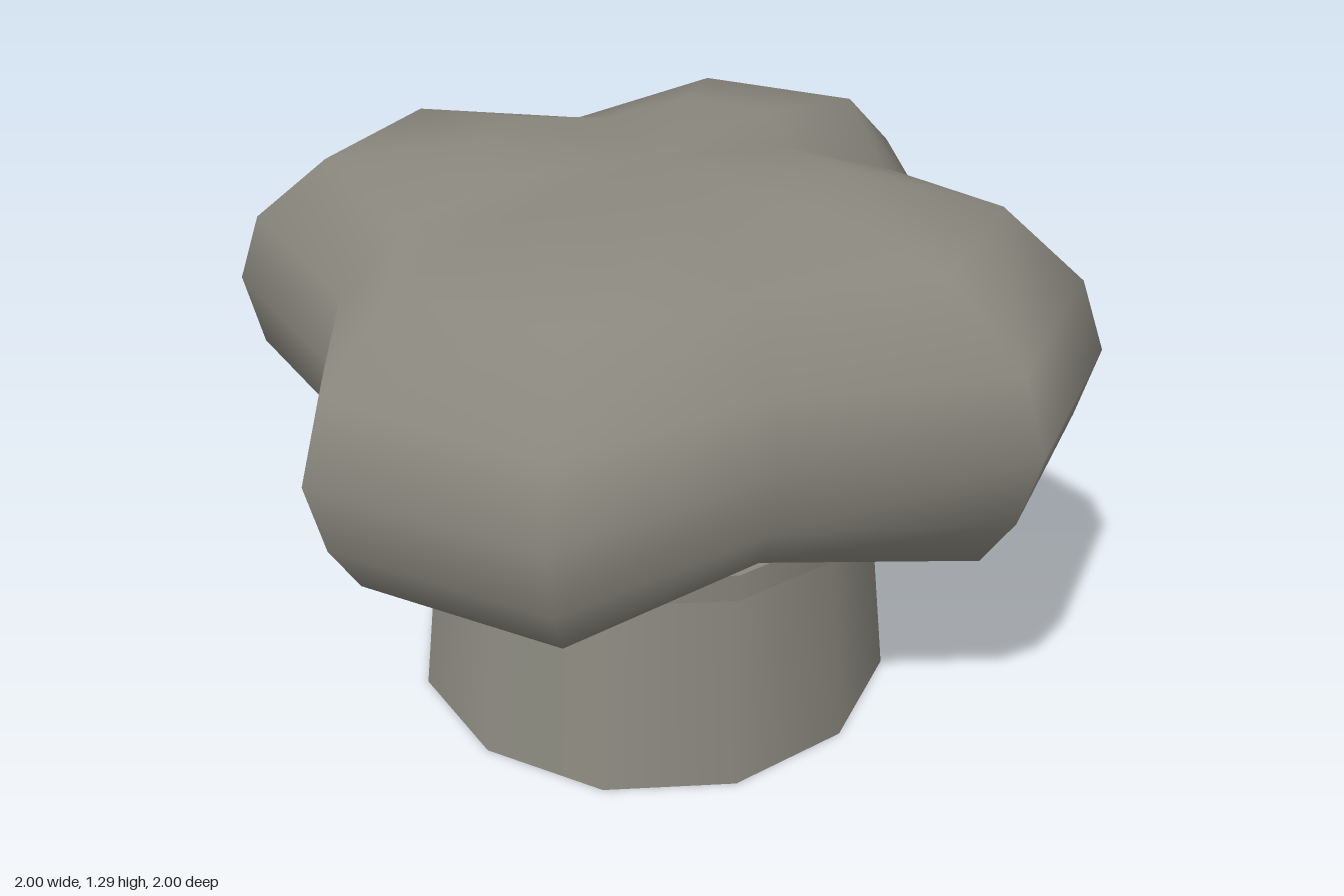
import * as THREE from 'three';

const SIDES = 12;

// Rings of the lobed grip from bottom to top: [lobe radius, lobe height, valley height]
const RINGS = [
  [0.55, 0.56, 0.57],
  [0.89, 0.635, 0.66],
  [0.96, 0.755, 0.76],
  [1.0, 0.92, 0.92],
  [0.94, 1.08, 1.06],
  [0.755, 1.235, 1.2],
  [0.42, 1.29, 1.28],
];
const VALLEY = 0.745; // valley radius relative to a lobe

function gripGeometry() {
  const pos = [0, 0.56, 0];
  const index = [];
  RINGS.forEach(([r, yLobe, yValley], i) => {
    for (let k = 0; k < SIDES; k++) {
      const valley = k % 3 === 2;
      let radius = valley ? r * VALLEY : r;
      let y = valley ? yValley : yLobe;
      // the underside is cut back at two opposite corners
      if (i === 1 && k % 6 === 0) { radius = 0.79; y = 0.652; }
      const a = (k / SIDES) * Math.PI * 2;
      pos.push(Math.cos(a) * radius, y, Math.sin(a) * radius);
    }
  });
  const top = pos.length / 3;
  pos.push(0, 1.285, 0);

  const at = (i, k) => 1 + i * SIDES + (k % SIDES);
  const last = RINGS.length - 1;
  for (let k = 0; k < SIDES; k++) {
    index.push(0, at(0, k), at(0, k + 1));
    for (let i = 0; i < last; i++) {
      const a = at(i, k), b = at(i + 1, k), c = at(i + 1, k + 1), d = at(i, k + 1);
      index.push(a, b, d, b, c, d);
    }
    index.push(at(last, k), top, at(last, k + 1));
  }
  const geo = new THREE.BufferGeometry();
  geo.setAttribute('position', new THREE.Float32BufferAttribute(pos, 3));
  geo.setIndex(index);
  geo.computeVertexNormals();
  return geo;
}

export function createModel() {
  const group = new THREE.Group();
  group.name = 'lobedKnob';
  const grey = new THREE.MeshStandardMaterial({ color: 0x8a887e });
  grey.name = 'warmGrey';

  const add = (name, geo, y = 0) => {
    const mesh = new THREE.Mesh(geo, grey);
    mesh.name = name;
    mesh.position.y = y;
    group.add(mesh);
  };

  // Tapered stem, thin collar and four-lobed grip
  add('stem', new THREE.CylinderGeometry(0.525, 0.585, 0.5, SIDES), 0.25);
  add('collar', new THREE.CylinderGeometry(0.565, 0.565, 0.066, SIDES), 0.53);
  add('grip', gripGeometry());
  return group;
}
